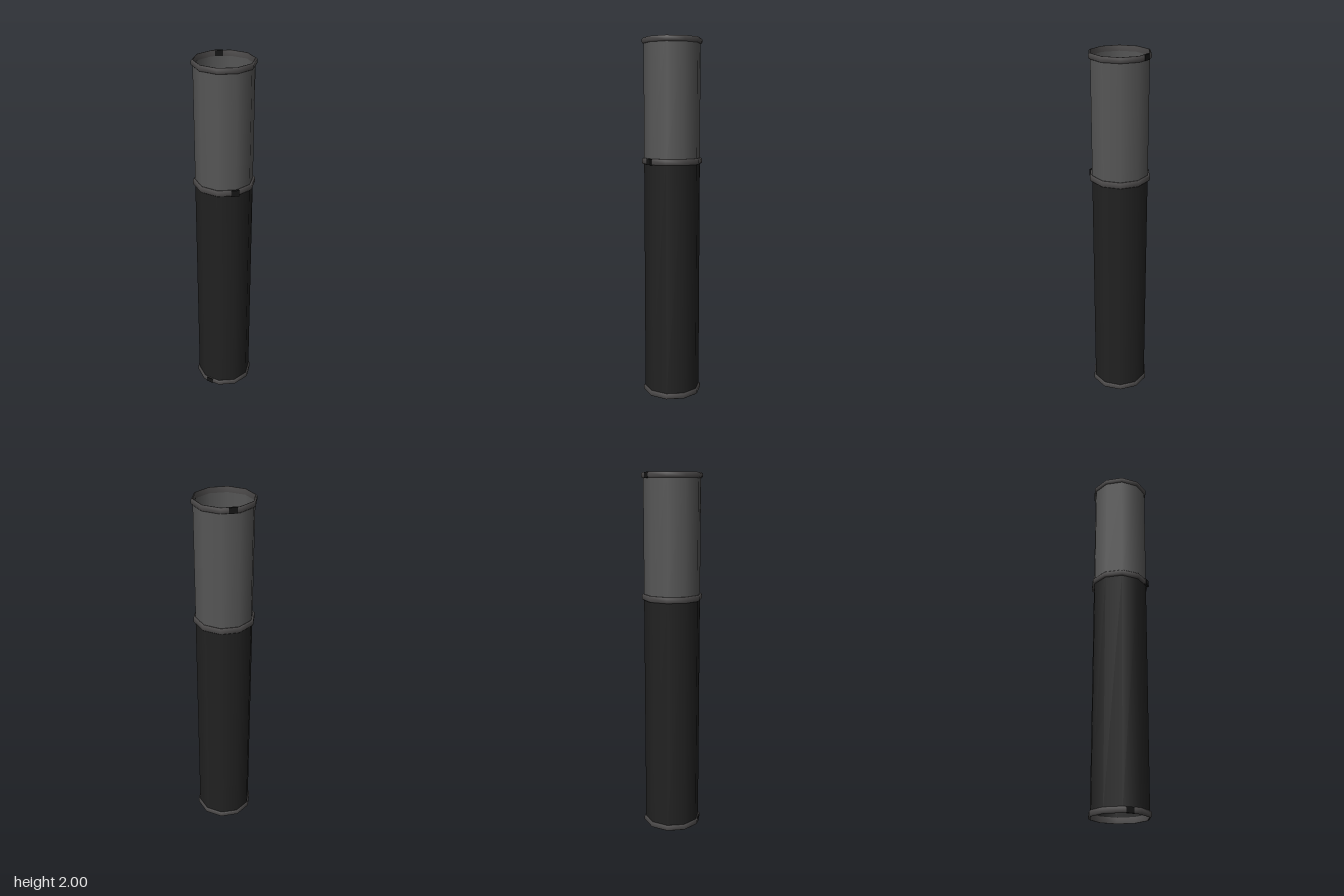
import * as THREE from 'three';

const SIDES = 10;
const START = Math.PI / 2; // puts a corner on +x

export function createModel() {
  const group = new THREE.Group();
  const mat = (name, color) =>
    new THREE.MeshStandardMaterial({ name, color, side: THREE.DoubleSide });
  const grey = mat('grey tube', 0x565656);
  const black = mat('black grip', 0x212121);
  const ringGrey = mat('ring grey', 0x4b4949);
  const claspBlack = mat('clasp black', 0x151515);

  const add = (name, geometry, material) => {
    const mesh = new THREE.Mesh(geometry, material);
    mesh.name = name;
    group.add(mesh);
    return mesh;
  };

  // Open ten-sided sleeve between two heights
  const sleeve = (name, y0, y1, material) => {
    const g = new THREE.CylinderGeometry(0.156, 0.156, y1 - y0, SIDES, 1, true, START);
    add(name, g, material).position.y = (y0 + y1) / 2;
  };
  sleeve('lowerSleeve', 0.01, 1.337, black);
  sleeve('upperSleeve', 1.337, 1.99, grey);

  // Rounded band with a closed profile
  const band = (name, y0, y1, outer) => {
    const inner = 0.154, b = 0.006;
    const profile = [
      [inner, y0], [outer - b, y0], [outer, y0 + b], [outer, y1 - b],
      [outer - b, y1], [inner, y1], [inner, y0],
    ].map(([x, y]) => new THREE.Vector2(x, y));
    add(name, new THREE.LatheGeometry(profile, SIDES, START), ringGrey);
  };
  band('bottomRing', 0, 0.032, 0.165);
  band('middleRing', 1.32, 1.353, 0.168);
  band('topRing', 1.97, 2, 0.165);

  // Small dark clasps that wrap the rings
  const clasp = (name, x, y, z, turn, height, depth) => {
    const mesh = add(name, new THREE.BoxGeometry(0.042, height, depth), claspBlack);
    mesh.position.set(x, y, z);
    mesh.rotation.y = turn;
  };
  clasp('middleClasp', 0.043, 1.3365, 0.153, 0.1, 0.034, 0.015);
  clasp('topClasp', -0.012, 1.985, -0.152, 0, 0.03, 0.0125);
  clasp('bottomClasp', -0.098, 0.016, 0.119, -Math.PI / 5, 0.03, 0.017 / 2);

  return group;
}
